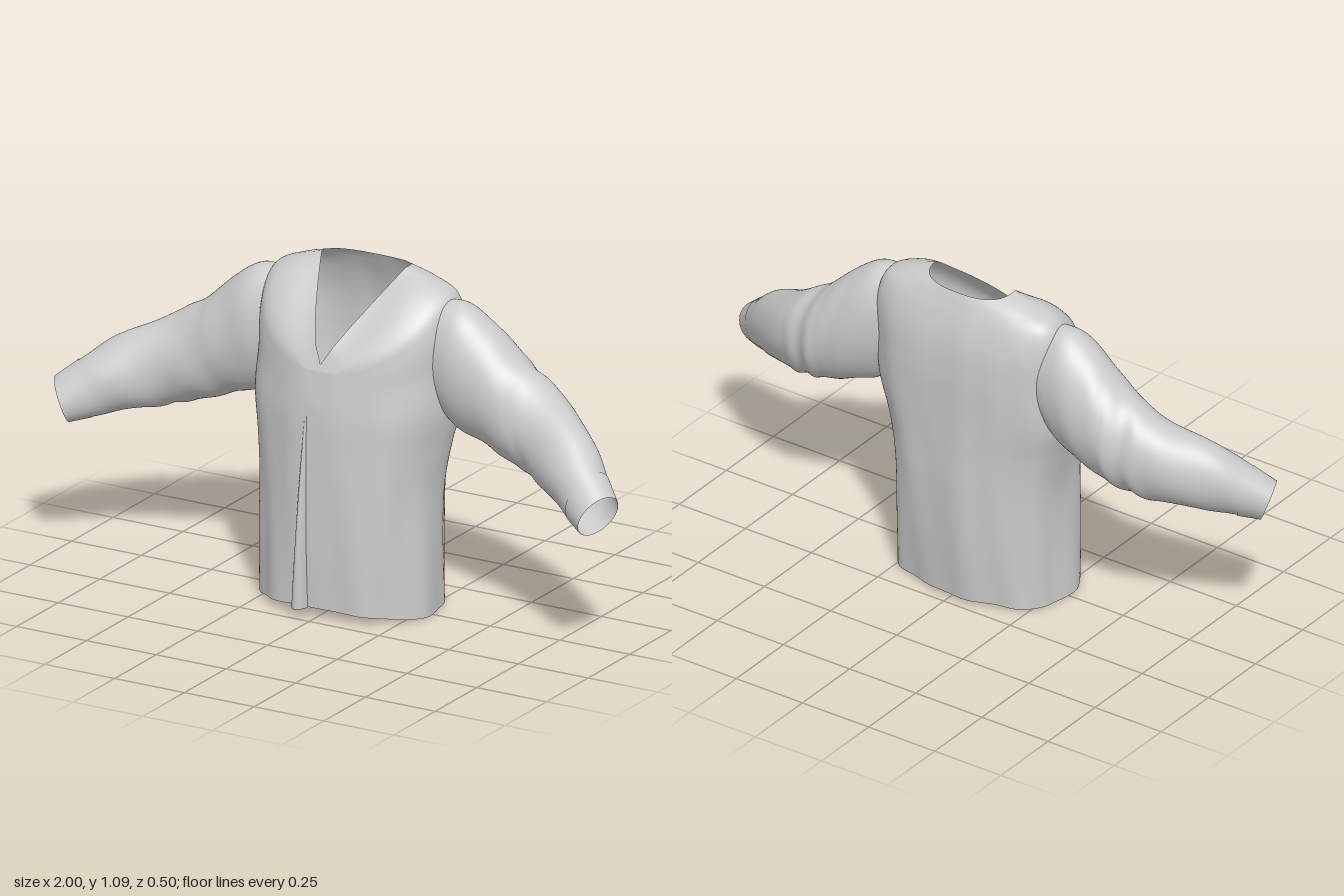
import * as THREE from 'three';

const cloth = new THREE.MeshStandardMaterial({ color: 0xcccccc, side: THREE.DoubleSide, roughness: 0.9 });
const V = (x, y, z) => new THREE.Vector3(x, y, z);
const spow = (v, e) => Math.sign(v) * Math.pow(Math.abs(v), e);
const lerp = THREE.MathUtils.lerp;
const bell = (v, c, w) => Math.exp(-(((v - c) / w) ** 2));

// Smooth skin: each column is a spline through its control points; columns wrap when closed.
function skin(name, column, cols, rows, closed = true, adjust = null) {
  const pos = [], idx = [];
  const n = closed ? cols : cols + 1;
  for (let i = 0; i < n; i++) {
    const a = i / cols;
    const curve = new THREE.CatmullRomCurve3(column(a), false, 'centripetal');
    for (let j = 0; j <= rows; j++) {
      const p = curve.getPoint(j / rows);
      if (adjust) adjust(p, a, j / rows);
      pos.push(p.x, p.y, p.z);
    }
  }
  for (let i = 0; i < cols; i++) {
    const k = (i + 1) % n;
    for (let j = 0; j < rows; j++) {
      const p = i * (rows + 1) + j, q = k * (rows + 1) + j;
      idx.push(p, p + 1, q, q, p + 1, q + 1);
    }
  }
  const g = new THREE.BufferGeometry();
  g.setAttribute('position', new THREE.Float32BufferAttribute(pos, 3));
  g.setIndex(idx);
  g.computeVertexNormals();
  const mesh = new THREE.Mesh(g, cloth);
  mesh.name = name;
  return mesh;
}

// Torso rings: height at front, side, back; half width; front z; back z; side z; front and back roundness
const rings = [
  [0.03, 0.0, 0.012, 0.293, 0.212, -0.214, -0.01, 0.85, 0.8],
  [0.2, 0.2, 0.2, 0.288, 0.216, -0.232, -0.01, 0.85, 0.8],
  [0.4, 0.4, 0.4, 0.29, 0.216, -0.24, -0.02, 0.88, 0.8],
  [0.53, 0.53, 0.54, 0.31, 0.214, -0.24, -0.035, 0.95, 0.8],
  [0.64, 0.67, 0.68, 0.338, 0.211, -0.24, -0.06, 1, 0.75],
  [0.72, 0.82, 0.8, 0.335, 0.205, -0.24, -0.07, 1.05, 0.7],
  [0.77, 0.95, 0.91, 0.335, 0.198, -0.23, -0.08, 1.05, 0.7],
  [0.795, 1.022, 0.99, 0.31, 0.194, -0.208, -0.085, 1, 0.7],
  [0.81, 1.058, 1.04, 0.235, 0.191, -0.188, -0.085, 0.95, 0.7],
];

// V-shaped at the front, squarish behind
function neckline(th) {
  const c = Math.cos(th), s = Math.sin(th);
  if (s < 0) return V(0.15 * spow(c, 0.75), 1.085 + 0.015 * s, -0.08 + 0.095 * spow(s, 0.75));
  const t = 1 - Math.abs(1 - (2 * th) / Math.PI);
  const u = Math.pow(1 - t, 0.75);
  return V(0.15 * Math.sign(c) * u, 0.82 + 0.265 * u, -0.08 + 0.27 * t);
}

// Limit of the chest slope for each height
const chest = [[0, 0.25], [0.6, 0.225], [0.8, 0.19], [0.9, 0.148], [1.0, 0.055], [1.04, 0.005], [1.09, -0.075]];
function chestLimit(y) {
  const i = Math.max(1, chest.findIndex((c) => y <= c[0]));
  const [y0, z0] = chest[i - 1], [y1, z1] = chest[i];
  return lerp(z0, z1, (y - y0) / (y1 - y0));
}

function torsoColumn(a) {
  const th = a * Math.PI * 2, c = Math.cos(th), s = Math.sin(th);
  const pts = rings.map(([yf, ys, yb, w, zf, zb, zc, ef, eb]) => {
    const y = lerp(ys, s > 0 ? yf : yb, Math.pow(Math.abs(s), 1.6));
    const reach = s > 0 ? zf - zc : zc - zb, e = s > 0 ? ef : eb;
    return V(w * spow(c, lerp(0.85, e, Math.abs(s))), y, zc + reach * spow(s, e));
  });
  pts.push(neckline(th));
  return pts;
}

// Broad hanging folds, fading toward the neck, with a ridge down the back
function torsoFolds(p, a, v) {
  const th = a * Math.PI * 2, fade = Math.max(0, 1 - v * 1.1);
  const f = (0.005 * Math.sin(7 * th + 4 * p.y) + 0.002 * Math.sin(13 * th - 6 * p.y)) * fade;
  p.x += f * Math.cos(th);
  p.z += f * Math.sin(th);
  if (p.z < -0.1) p.z -= 0.007 * bell(p.x, -0.05, 0.05) * Math.min(1, 4 * (1 - v));
  p.z = Math.min(p.z, chestLimit(p.y));
}

// Sleeve stations: top x, y; bottom x, y; centre z; half depth; turn
const stations = [
  [0.29, 1.01, 0.3, 0.65, -0.075, 0.1, 0],
  [0.37, 1.008, 0.36, 0.602, -0.075, 0.115, 0],
  [0.47, 0.938, 0.45, 0.57, -0.08, 0.12, 0],
  [0.56, 0.858, 0.53, 0.54, -0.075, 0.12, 0.1],
  [0.7, 0.772, 0.655, 0.505, -0.045, 0.105, 0.3],
  [0.84, 0.685, 0.795, 0.464, 0.03, 0.09, 0.42],
  [0.925, 0.605, 0.875, 0.435, 0.085, 0.076, 0.45],
  [0.988, 0.548, 0.933, 0.418, 0.125, 0.067, 0.46],
];

function sleeveColumn(side, list, scale) {
  return (a) => list.map(([tx, ty, bx, by, zc, d, turn]) => {
    const th = a * Math.PI * 2;
    const c = 0.5 * scale * Math.cos(th), s = d * scale * Math.sin(th);
    const lift = side < 0 ? 0.03 * THREE.MathUtils.smoothstep(tx, 0.65, 1) : 0;
    const x = (tx + bx) / 2 + (tx - bx) * c - Math.sin(turn) * s;
    return V(side * x, (ty + by) / 2 + (ty - by) * c + lift, zc + Math.cos(turn) * s);
  });
}

// Slanted creases above the elbow, strongest behind, and soft ripples toward the cuff
function sleeveFolds(p, a, v) {
  const th = a * Math.PI * 2, x = Math.abs(p.x) + 0.2 * (p.y - 0.7) + 0.02 * Math.sin(2 * th);
  const depth = 0.55 - 0.45 * Math.sin(th + 0.4);
  const f = depth * (0.006 * bell(x, 0.56, 0.018) - 0.006 * bell(x, 0.6, 0.02) + 0.005 * bell(x, 0.64, 0.02))
    + 0.002 * Math.sin(v * 30 + 3 * th) * Math.sin(Math.PI * v);
  p.y += f * Math.cos(th);
  p.z += f * Math.sin(th);
}

// Raised front edge fold, fading out at mid chest
function placketColumn(a) {
  const ridge = Math.pow(Math.sin(Math.PI * a), 0.5);
  const pts = [];
  for (let i = 0; i <= 8; i++) {
    const t = i / 8, w = lerp(0.055, 0.015, t);
    const peak = lerp(0.246, 0.211, t * t);
    pts.push(V(-0.028 - w * (1 - a), 0.028 + 0.63 * t, lerp(0.2, peak, ridge)));
  }
  return pts;
}

export function createModel() {
  const jacket = new THREE.Group();
  jacket.name = 'jacket';
  jacket.add(skin('torso', torsoColumn, 144, 72, true, torsoFolds));
  jacket.add(skin('frontPlacket', placketColumn, 16, 24, false));

  for (const side of [1, -1]) {
    const arm = new THREE.Group();
    arm.name = side > 0 ? 'leftSleeve' : 'rightSleeve';
    arm.add(skin('sleeve', sleeveColumn(side, stations, 1), 64, 90, true, sleeveFolds));
    arm.add(skin('cuff', sleeveColumn(side, stations.slice(-2), 1.03), 64, 6));
    jacket.add(arm);
  }
  return jacket;
}
